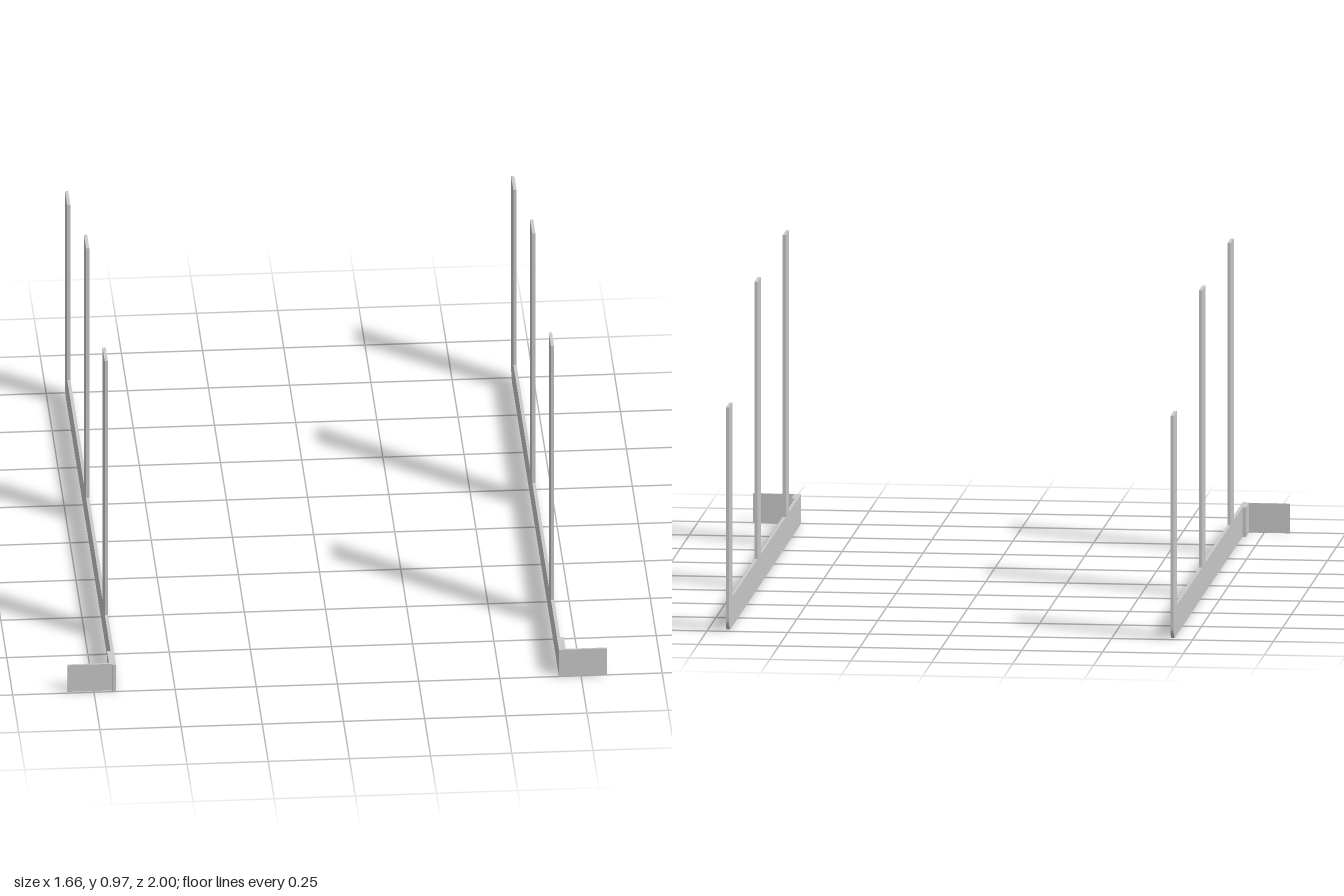
import * as THREE from 'three';

const material = new THREE.MeshStandardMaterial({ color: 0xcccccc, flatShading: true });

// Box given by its minimum and maximum corners
function box(name, [x0, y0, z0], [x1, y1, z1]) {
  const mesh = new THREE.Mesh(new THREE.BoxGeometry(x1 - x0, y1 - y0, z1 - z0), material);
  mesh.position.set((x0 + x1) / 2, (y0 + y1) / 2, (z0 + z1) / 2);
  mesh.name = name;
  return mesh;
}

const BAR = 0.092;          // width of every flat bar
const INNER = 0.682;        // inner face of the side frames
const OUTER = 0.692;        // outer face of the side frames
const POSTS = [[0.575, 0.665, 0.97], [-0.21, -0.118, 0.955]]; // back z, front z, height

// Flat side frame: rail with two posts and a rear upright on a rounded corner
function frameGeometry() {
  const s = new THREE.Shape(); // shape x is -z
  s.moveTo(-1, 0);
  s.lineTo(0.965, 0);
  s.absarc(0.965, 0.035, 0.035, -Math.PI / 2, 0, false);
  s.lineTo(1, 0.697);
  s.lineTo(1 - BAR, 0.697);
  s.lineTo(1 - BAR, BAR);
  for (const [back, front, height] of [...POSTS].reverse()) {
    s.lineTo(-back, BAR);
    s.lineTo(-back, height);
    s.lineTo(-front, height);
    s.lineTo(-front, BAR);
  }
  s.lineTo(-1, BAR);
  s.closePath();
  const g = new THREE.ExtrudeGeometry(s, { depth: OUTER - INNER, bevelEnabled: false, curveSegments: 6 });
  return g.rotateY(Math.PI / 2);
}

export function createModel() {
  const model = new THREE.Group();
  model.name = 'railPair';
  const geometry = frameGeometry();

  for (const side of [1, -1]) {
    const label = side > 0 ? 'left' : 'right';
    const frame = new THREE.Mesh(geometry, material);
    frame.name = label + 'Frame';
    frame.position.x = side > 0 ? INNER : -OUTER;
    model.add(frame);

    // Angle bracket: a lap on the outer face and an outward flange at the front
    const bracket = new THREE.Group();
    bracket.name = label + 'Bracket';
    const zEnd = side > 0 ? 1 : 0.992;
    const span = (a, b) => side > 0 ? [a, b] : [-b, -a];
    const [l0, l1] = span(OUTER, 0.703);
    const [f0, f1] = span(OUTER, 0.83);
    bracket.add(box('lap', [l0, 0, zEnd - 0.085], [l1, BAR, zEnd - 0.006]));
    bracket.add(box('flange', [f0, 0, zEnd - 0.006], [f1, BAR, zEnd]));
    model.add(bracket);
  }
  return model;
}
